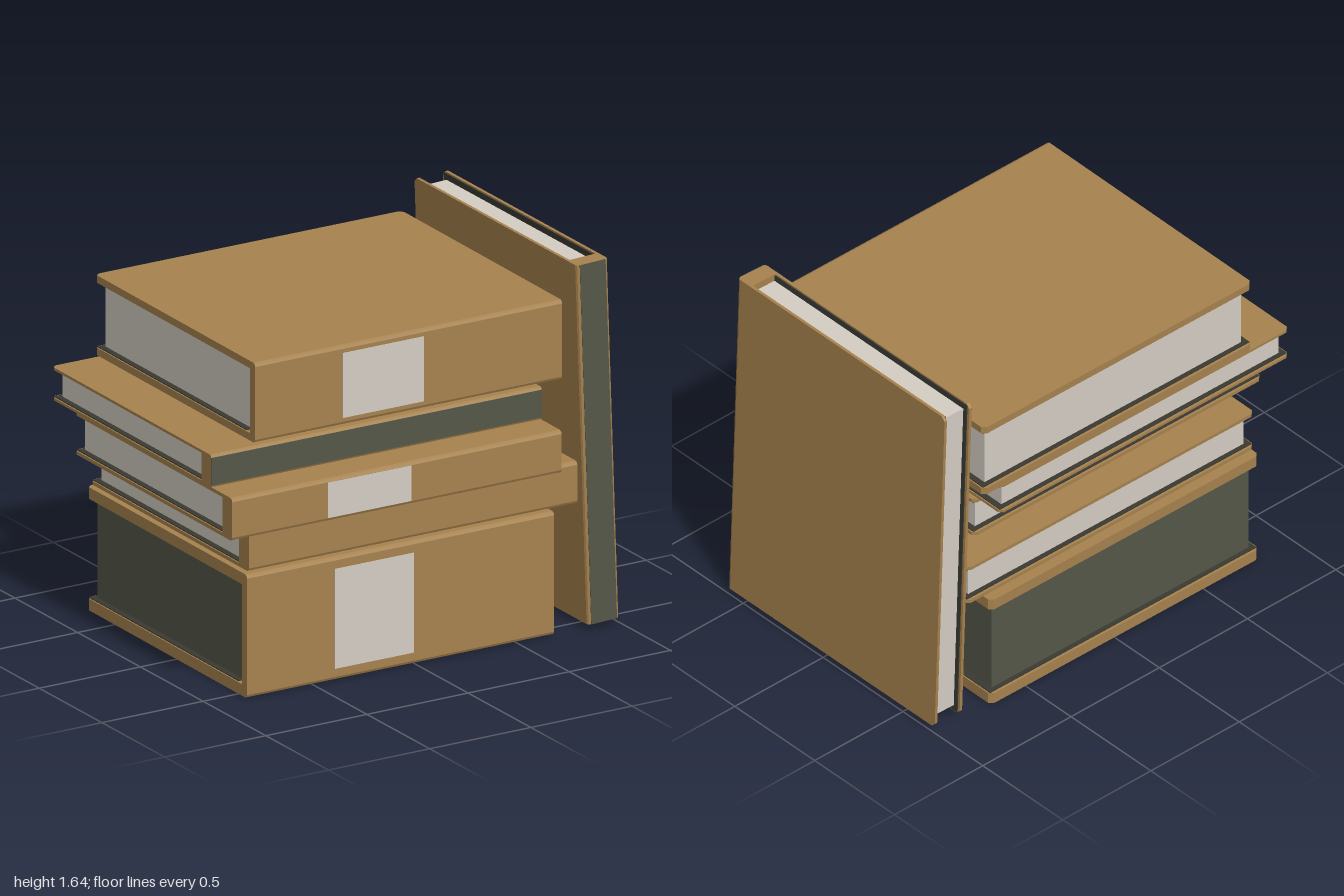
import * as THREE from 'three';

const mat = (color) => new THREE.MeshStandardMaterial({ color, flatShading: true });
const TAN = mat(0xa8834f), DARK = mat(0x55584a), PAPER = mat(0xd6cfc5), LINING = mat(0x3a3a33);

function add(group, name, geometry, material, x = 0, y = 0, z = 0) {
  const mesh = new THREE.Mesh(geometry, material);
  mesh.name = name;
  mesh.position.set(x, y, z);
  group.add(mesh);
  return mesh;
}

// Flat board in x-z with clipped corners along its back (fore) edge
function boardGeometry(w, thick, zFront, zBack) {
  const c = 0.018, h = w / 2;
  const shape = new THREE.Shape([
    [-h, -zFront], [h, -zFront], [h, -zBack - c], [h - c, -zBack], [-h + c, -zBack], [-h, -zBack - c],
  ].map(([x, y]) => new THREE.Vector2(x, y)));
  const geo = new THREE.ExtrudeGeometry(shape, { depth: thick, bevelEnabled: false });
  return geo.rotateX(-Math.PI / 2); // shape y becomes -z, depth becomes y
}

// Spine cross-section with softened front corners, solid or hollowed behind
function spineGeometry(w, t, s, cover, hollow, zFront) {
  const h = t / 2, r = Math.min(0.015, cover);
  const pts = [[s, -h], [s, h], [r, h], [r * 0.3, h - r * 0.3], [0, h - r],
    [0, -h + r], [r * 0.3, -h + r * 0.3], [r, -h]];
  if (hollow) {
    const i = h - cover;
    pts.splice(1, 0, [s, -i], [s / 2, -i], [s / 2, i], [s, i]);
  }
  const shape = new THREE.Shape(pts.map(([x, y]) => new THREE.Vector2(x, y)));
  const geo = new THREE.ExtrudeGeometry(shape, { depth: w, bevelEnabled: false });
  return geo.rotateY(Math.PI / 2).translate(-w / 2, 0, zFront);
}

// Book lying flat: length on x, thickness on y, spine towards +z, centred on its origin
function makeBook({ name, w, t, d, cover, hollow = false, pages = PAPER, label }) {
  const book = new THREE.Group();
  book.name = name;
  const front = d / 2, back = -d / 2, s = 0.08, inset = 0.033;
  const inner = t - 2 * cover;

  // covers and their dark inner lining
  for (const side of [-1, 1]) {
    const y = side > 0 ? t / 2 - cover : -t / 2;
    add(book, side > 0 ? 'upperCover' : 'lowerCover', boardGeometry(w, cover, front - s, back), TAN, 0, y);
    add(book, 'coverLining', new THREE.BoxGeometry(w - 0.012, 0.004, d - s - 0.012), LINING,
      0, side * (inner / 2 - 0.002), -s / 2 + 0.006);
  }
  add(book, 'spine', spineGeometry(w, t, s, cover, hollow, front), TAN);

  // page block
  const pd = d - s - inset;
  add(book, 'pages', new THREE.BoxGeometry(w - 2 * inset, inner - 0.006, pd), pages,
    0, 0, back + inset + pd / 2);

  // coloured panel on the spine
  if (label) {
    add(book, 'spinePanel', new THREE.BoxGeometry(label.w, inner, 0.004), label.material, label.x, 0, front);
  }
  return book;
}

export function createModel() {
  const model = new THREE.Group();
  model.name = 'bookStack';

  // x, y, z ranges of each stacked book, from the bottom up
  const stack = [
    { name: 'bottomBook', x: [-0.82, 0.69], y: [0, 0.55], z: [-0.72, 0.575], cover: 0.052, hollow: true,
      pages: DARK, label: { from: -0.39, to: 0, material: PAPER } },
    { name: 'secondBook', x: [-0.82, 0.795], y: [0.57, 0.76], z: [-0.69, 0.59], cover: 0.016 },
    { name: 'thirdBook', x: [-0.98, 0.64], y: [0.775, 0.965], z: [-0.56, 0.715], cover: 0.016,
      label: { from: -0.51, to: -0.1, material: PAPER } },
    { name: 'fourthBook', x: [-1, 0.625], y: [0.975, 1.122], z: [-0.71, 0.58], cover: 0.012,
      label: { from: -1, to: 0.625, material: DARK } },
    { name: 'topBook', x: [-0.78, 0.73], y: [1.132, 1.488], z: [-0.72, 0.575], cover: 0.033, hollow: true,
      label: { from: -0.35, to: 0.05, material: PAPER } },
  ];
  const mid = ([a, b]) => (a + b) / 2, size = ([a, b]) => b - a;
  for (const b of stack) {
    const label = b.label && { w: b.label.to - b.label.from, x: (b.label.from + b.label.to) / 2 - mid(b.x),
      material: b.label.material };
    const book = makeBook({ ...b, w: size(b.x), t: size(b.y), d: size(b.z), label });
    book.position.set(mid(b.x), mid(b.y), mid(b.z));
    book.rotation.y = -0.008; // slightly askew
    model.add(book);
  }

  // upright book leaning against the stack
  const upright = makeBook({ name: 'leaningBook', w: 1.615, t: 0.155, d: 1.295, cover: 0.014,
    label: { w: 1.615, x: 0, material: DARK } });
  upright.position.set(0.891, 0.83, -0.0475);
  upright.rotation.z = Math.PI / 2 + 0.035;
  model.add(upright);

  return model;
}
